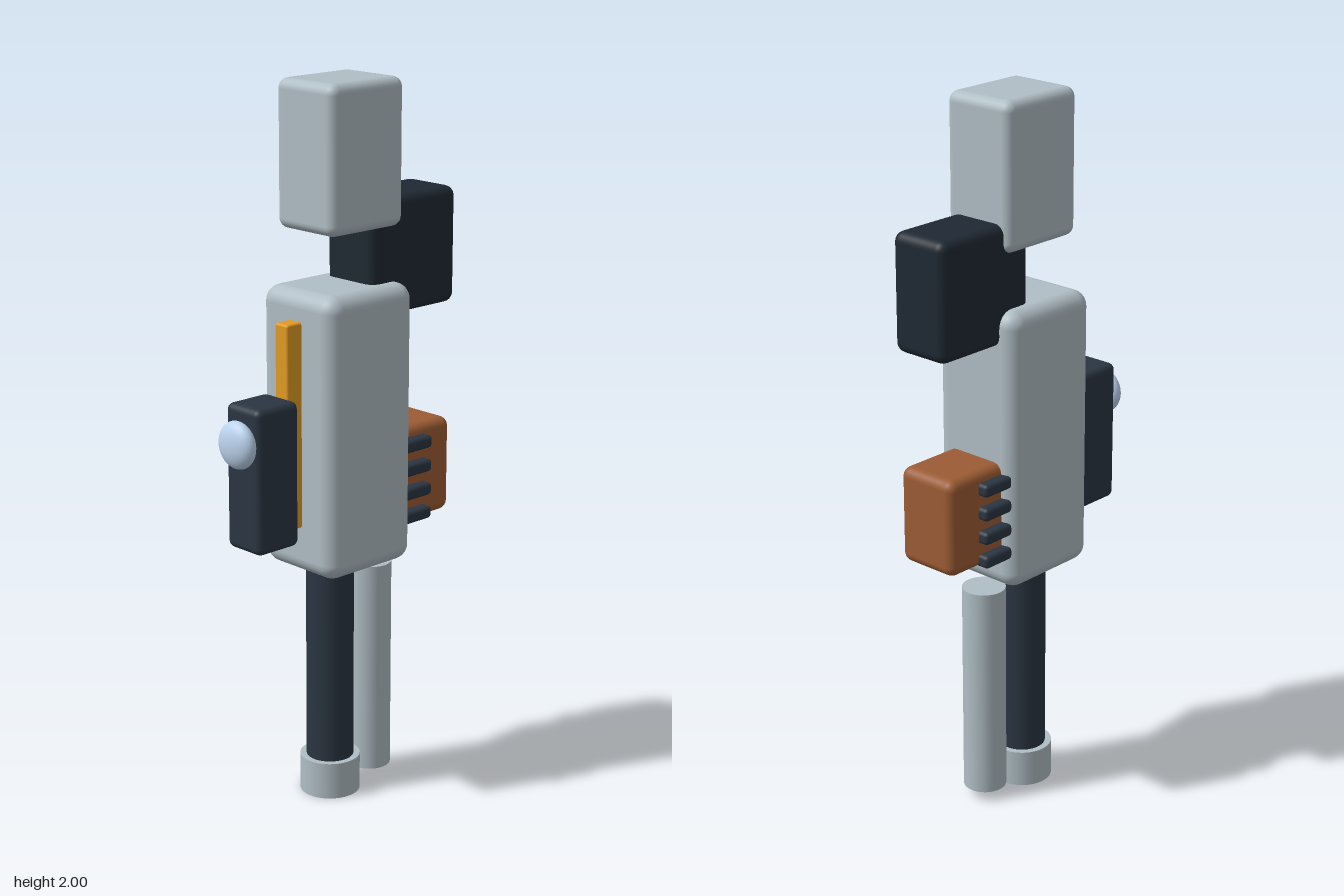
import * as THREE from 'three';
import { RoundedBoxGeometry } from 'three/addons/geometries/RoundedBoxGeometry.js';

const material = (color) => new THREE.MeshStandardMaterial({ color });

export function createModel() {
  const model = new THREE.Group();
  const shell = material(0xb0bec5);
  const slate = material(0x2b3642);
  const navy = material(0x1f2933);
  const amber = material(0xe09b24);
  const copper = material(0x9c5c34);
  const glass = material(0xbcd4ee);

  const add = (name, geometry, mat, x, y, z) => {
    const mesh = new THREE.Mesh(geometry, mat);
    mesh.name = name;
    mesh.position.set(x, y, z);
    model.add(mesh);
    return mesh;
  };

  // Rounded box given by its half width and its y and z limits
  const box = (name, mat, halfX, y0, y1, z0, z1, radius) =>
    add(name, new RoundedBoxGeometry(2 * halfX, y1 - y0, z1 - z0, 4, radius),
      mat, 0, (y0 + y1) / 2, (z0 + z1) / 2);

  // Upright cylinder given by its y limits
  const post = (name, mat, radius, y0, y1, z) =>
    add(name, new THREE.CylinderGeometry(radius, radius, y1 - y0, 32), mat, 0, (y0 + y1) / 2, z);

  // Main blocks
  box('body', shell, 0.14, 0.675, 1.455, -0.172, 0.14, 0.045);
  box('topBlock', shell, 0.11, 1.605, 2, -0.156, 0.108, 0.028);
  box('rearUpperBlock', navy, 0.09, 1.36, 1.683, -0.378, -0.055, 0.028);

  // Front strip, housing and flattened lens
  box('frontStrip', amber, 0.025, 0.81, 1.377, 0.135, 0.19, 0.007);
  box('frontHousing', slate, 0.066, 0.78, 1.18, 0.184, 0.33, 0.02);
  add('lens', new THREE.SphereGeometry(0.065, 32, 20), glass, 0, 1.08, 0.345).scale.z = 0.5;

  // Rear unit with cooling fins
  box('rearUnit', copper, 0.095, 0.765, 1.037, -0.361, -0.09, 0.028);
  for (let i = 0; i < 4; i++) {
    const y = 0.787 + i * 0.068;
    box('coolingFin', slate, 0.125, y - 0.018, y + 0.018, -0.259, -0.158, 0.012);
  }

  // Support post with foot, and the hanging tube behind it
  post('post', slate, 0.066, 0.05, 0.72, 0.014);
  post('foot', shell, 0.084, 0, 0.105, 0.014);
  post('rearTube', shell, 0.06, 0.03, 0.642, -0.14);

  return model;
}
